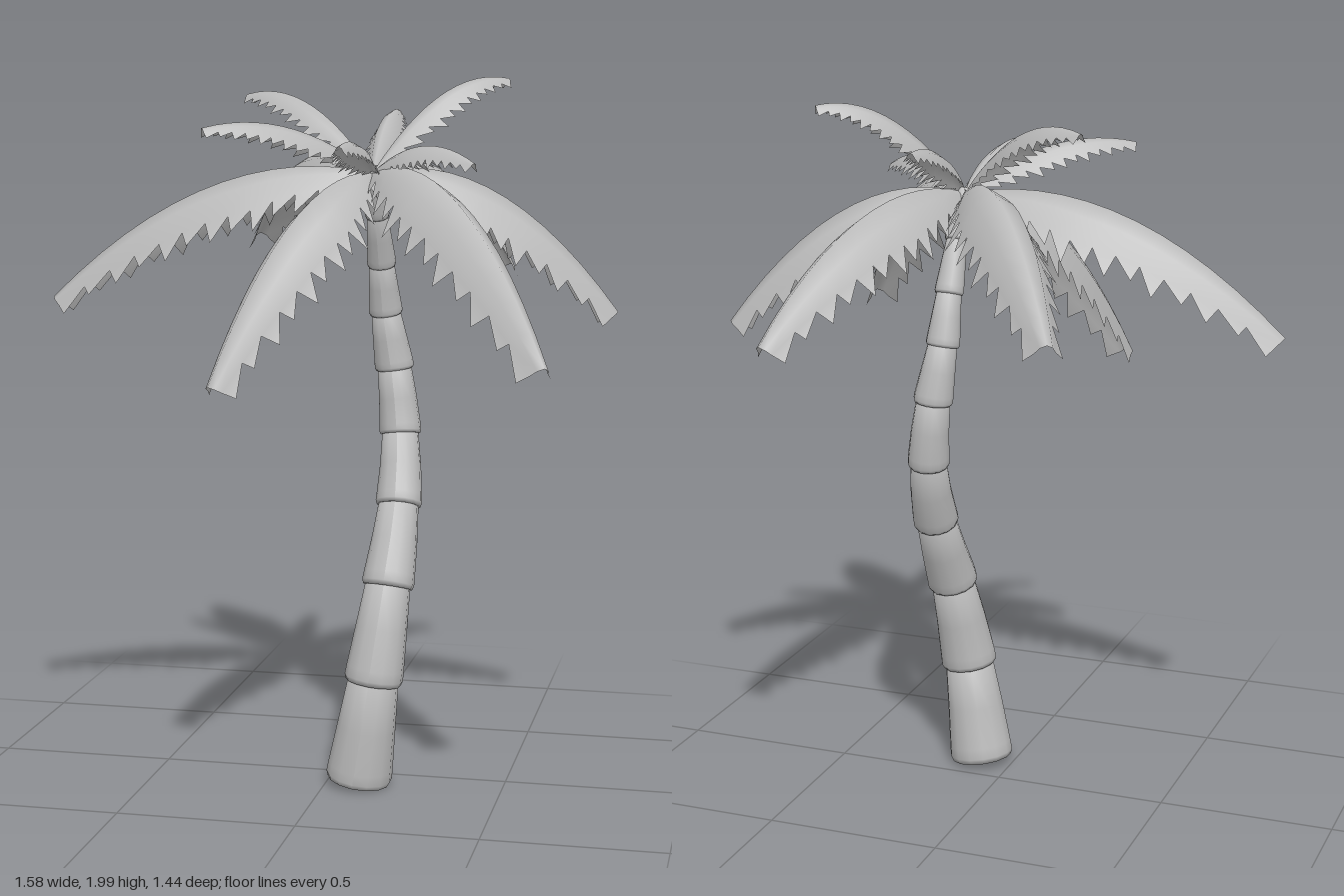
import * as THREE from 'three';

const grey = new THREE.MeshStandardMaterial({ color: 0xbcbcbc, side: THREE.DoubleSide });
grey.name = 'palm grey';
const UP = new THREE.Vector3(0, 1, 0);
const CROWN = new THREE.Vector3(0.12, 1.735, 0.055);

// Trunk joints: x, y, z, radius
const JOINTS = [
  [0.093, 0.02, 0.105, 0.094], [0.137, 0.31, 0.117, 0.083], [0.168, 0.575, 0.067, 0.074],
  [0.18, 0.79, -0.03, 0.066], [0.17, 0.985, -0.108, 0.06], [0.15, 1.17, -0.122, 0.056],
  [0.128, 1.33, -0.103, 0.048], [0.122, 1.47, -0.068, 0.041], [0.12, 1.61, -0.012, 0.034],
  [0.12, 1.745, 0.05, 0.024],
];

// Fronds: tip x, y, z, then height of the curve's control point
const LARGE = [
  [-0.79, 1.38, 0.11, 1.83], [-0.395, 1.51, -0.72, 1.92], [0.405, 1.43, -0.68, 1.86],
  [0.785, 1.35, -0.1, 1.82], [0.68, 1.29, 0.71, 1.85], [-0.21, 1.2, 0.58, 1.76],
];
const SMALL = [
  [-0.29, 1.945, -0.16, 2.0], [0.115, 1.9, -0.35, 1.92], [0.46, 1.99, -0.19, 2.03],
  [0.435, 1.77, 0.27, 1.87], [0.135, 1.82, 0.57, 1.86], [-0.29, 1.86, 0.33, 1.92],
];

// One flared collar segment, bent along the trunk curve
function trunkSegment(curve, k) {
  const r = JOINTS[k][3], top = JOINTS[k + 1][3] * 0.86, n = JOINTS.length - 1;
  const profile = [[0, 0], [r * 0.94, 0], [r, 0.05], [r * 0.98, 0.15],
    [(r + top) / 2, 0.55], [top, 1.03], [0, 1.03]];
  const geo = new THREE.LatheGeometry(profile.map(p => new THREE.Vector2(...p)), 14);
  const pos = geo.attributes.position, v = new THREE.Vector3(), q = new THREE.Quaternion();
  for (let i = 0; i < pos.count; i++) {
    v.fromBufferAttribute(pos, i);
    const u = Math.min(1, (k + v.y) / n);
    v.y = 0;
    v.applyQuaternion(q.setFromUnitVectors(UP, curve.getTangent(u))).add(curve.getPoint(u));
    pos.setXYZ(i, v.x, v.y, v.z);
  }
  geo.computeVertexNormals();
  return geo;
}

// Relative half width from stem to tip
function widthAt(t) {
  const keys = [[0, 0.08], [0.15, 0.62], [0.4, 1], [0.7, 0.82], [0.9, 0.5], [1, 0.3]];
  const i = Math.max(1, keys.findIndex(k => k[0] >= t));
  const [a, b] = [keys[i - 1], keys[i]];
  return THREE.MathUtils.lerp(a[1], b[1], (t - a[0]) / (b[0] - a[0]));
}

// Arched leaf with drooping sides and saw teeth along both edges
function frond([x, y, z, lift], half, drop, tooth) {
  const tip = new THREE.Vector3(x, y, z);
  const mid = CROWN.clone().lerp(tip, 0.5).setY(lift);
  const curve = new THREE.QuadraticBezierCurve3(CROWN, mid, tip);
  const side = tip.clone().sub(CROWN).setY(0).normalize().cross(UP);
  const section = [[-1, -1], [-0.62, -0.33], [0, 0], [0.62, -0.33], [1, -1]];
  const rows = 13, cols = section.length, verts = [], index = [];
  const place = (t, s, d) => {
    const normal = side.clone().cross(curve.getTangent(t));
    const p = curve.getPoint(t).addScaledVector(side, s).addScaledVector(normal, d);
    return verts.push(p.x, p.y, p.z) / 3 - 1;
  };
  for (let i = 0; i <= rows; i++) {
    const w = widthAt(i / rows);
    for (const [s, d] of section) place(i / rows, s * half * w, d * drop * w);
  }
  for (let i = 0; i < rows; i++) {
    const a = i * cols, b = a + cols;
    for (let j = 0; j < cols - 1; j++) {
      index.push(a + j, a + j + 1, b + j, a + j + 1, b + j + 1, b + j);
    }
    // teeth leaning toward the tip, alternating in length
    const t = Math.min(1, (i + 1) / rows), w = widthAt(t);
    const long = tooth * (0.35 + 0.65 * w) * (i % 2 ? 0.8 : 1.1);
    const left = place(t, -half * w - long * 0.65, -drop * w - long * 0.8);
    const right = place(t, half * w + long * 0.65, -drop * w - long * 0.8);
    index.push(a, b, left, a + cols - 1, right, b + cols - 1);
  }
  const geo = new THREE.BufferGeometry();
  geo.setAttribute('position', new THREE.Float32BufferAttribute(verts, 3));
  geo.setIndex(index);
  geo.computeVertexNormals();
  return geo;
}

export function createModel() {
  const model = new THREE.Group();
  model.name = 'palmTree';
  const add = (parent, name, geo) => {
    const mesh = new THREE.Mesh(geo, grey);
    mesh.name = name;
    parent.add(mesh);
  };

  // Trunk
  const trunk = new THREE.Group();
  trunk.name = 'trunk';
  const curve = new THREE.CatmullRomCurve3(JOINTS.map(j => new THREE.Vector3(j[0], j[1], j[2])));
  for (let k = 0; k < JOINTS.length - 1; k++) add(trunk, `trunkSegment${k + 1}`, trunkSegment(curve, k));

  // Crown of hanging and upright fronds
  const crown = new THREE.Group();
  crown.name = 'crown';
  LARGE.forEach((f, i) => add(crown, `largeFrond${i + 1}`, frond(f, 0.088, 0.1, 0.065)));
  SMALL.forEach((f, i) => add(crown, `smallFrond${i + 1}`, frond(f, 0.038, 0.042, 0.03)));

  model.add(trunk, crown);
  return model;
}
